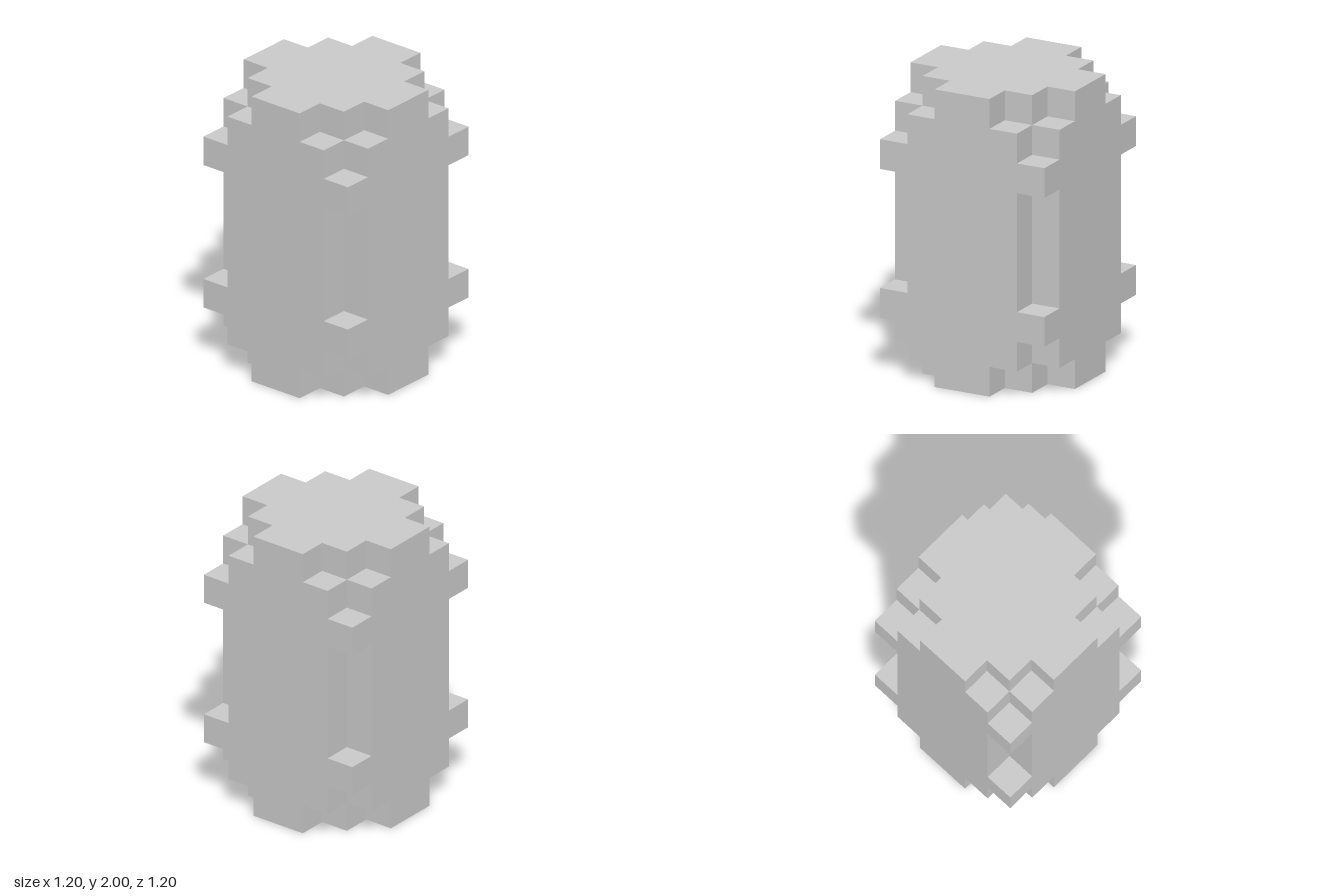
import * as THREE from 'three';

const CELL = 0.2;
const HALF = 0.6;

// Square outline whose four corners are cut back in a staircase of n steps
function steppedSquare(n) {
  const corner = [];
  for (let i = 0; i <= n; i++) {
    corner.push([HALF - i * CELL, HALF - (n - i) * CELL]);
    if (i < n) corner.push([HALF - (i + 1) * CELL, HALF - (n - i) * CELL]);
  }
  const points = [];
  for (let turn = 0; turn < 4; turn++) {
    for (const [x, y] of corner) {
      const [px, py] = [[x, y], [-y, x], [-x, -y], [y, -x]][turn];
      points.push(new THREE.Vector2(px, py));
    }
  }
  return new THREE.Shape(points);
}

// Layers from the ground up: name, height in cells, corner steps
const LAYERS = [
  ['bottomCap', 1, 2],
  ['lowerStep', 1, 1],
  ['lowerRim', 1, 0],
  ['body', 4, 1],
  ['upperRim', 1, 0],
  ['upperStep', 1, 1],
  ['topCap', 1, 2],
];

export function createModel() {
  const model = new THREE.Group();
  model.name = 'steppedBlock';
  const material = new THREE.MeshStandardMaterial({ color: 0xcccccc, flatShading: true });

  let y = 0;
  for (const [name, cells, steps] of LAYERS) {
    const depth = cells * CELL;
    const geometry = new THREE.ExtrudeGeometry(steppedSquare(steps), { depth, bevelEnabled: false });
    geometry.rotateX(-Math.PI / 2);
    const layer = new THREE.Mesh(geometry, material);
    layer.name = name;
    layer.position.y = y;
    model.add(layer);
    y += depth;
  }
  return model;
}
